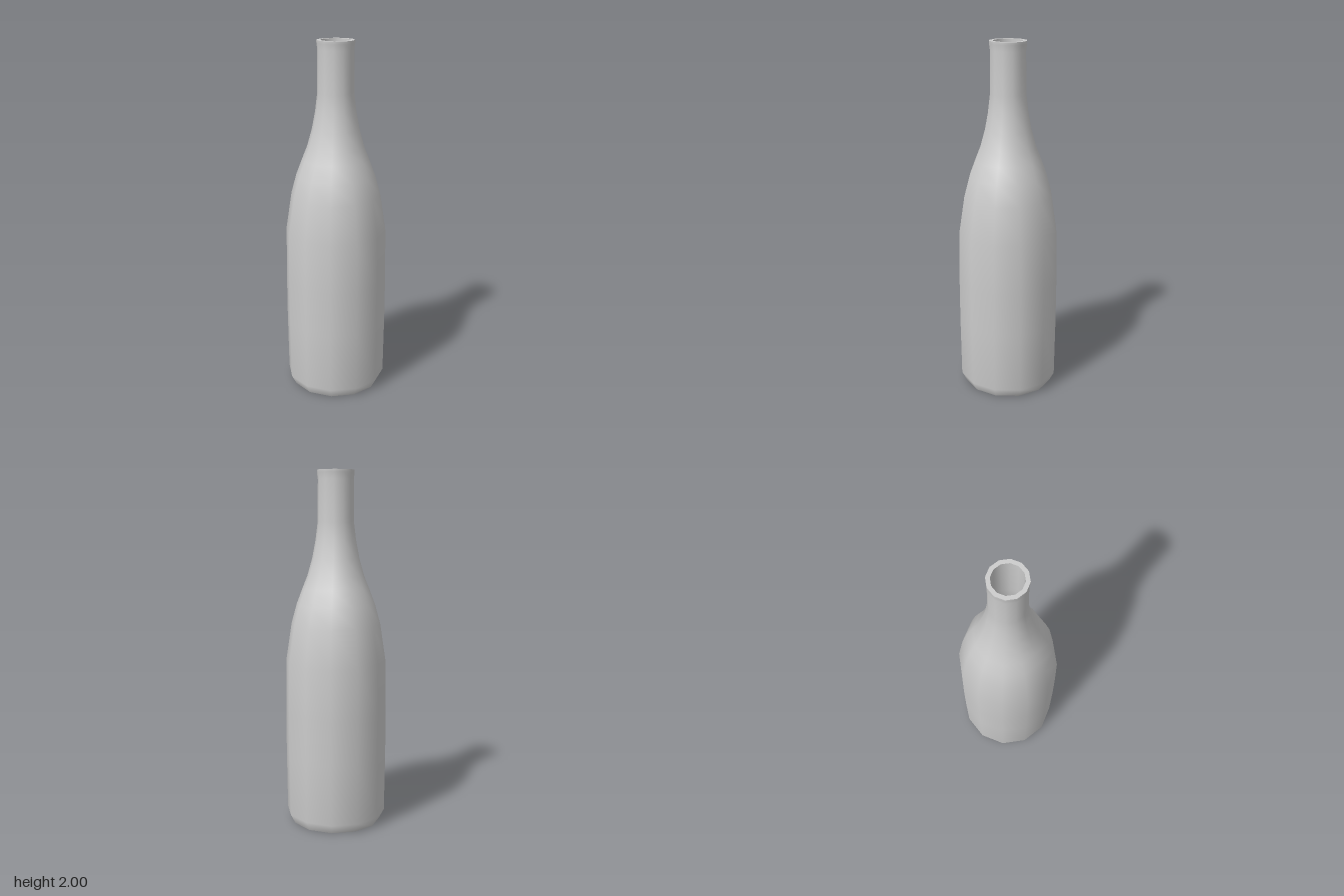
import * as THREE from 'three';

const SIDES = 12;

export function createModel() {
  const bottle = new THREE.Group();
  bottle.name = 'bottle';
  const material = new THREE.MeshStandardMaterial({ color: 0xcccccc });

  // Each surface is its own lathe, so edges between them stay sharp
  const addLathe = (name, profile) => {
    const points = profile.map(([r, y]) => new THREE.Vector2(r, y));
    const mesh = new THREE.Mesh(new THREE.LatheGeometry(points, SIDES), material);
    mesh.name = name;
    bottle.add(mesh);
  };

  // Body, shoulder and neck, from the base up
  const outer = [
    [0.257, 0], [0.284, 0.053], [0.288, 0.4], [0.288, 0.65], [0.284, 0.94],
    [0.252, 1.15], [0.222, 1.26], [0.188, 1.35], [0.16, 1.42], [0.132, 1.52],
    [0.113, 1.62], [0.101, 1.72], [0.099, 1.95], [0.104, 1.985], [0.104, 2],
  ];
  // Hollow inside, from the mouth down
  const inner = [
    [0.082, 2], [0.082, 1.72], [0.112, 1.52], [0.168, 1.35],
    [0.232, 1.15], [0.264, 0.94], [0.266, 0.06], [0.24, 0.03],
  ];

  addLathe('base', [[0, 0], outer[0]]);
  addLathe('bodyAndNeck', outer);
  addLathe('rim', [outer.at(-1), inner[0]]);
  addLathe('innerWall', inner);
  addLathe('innerFloor', [inner.at(-1), [0, 0.03]]);

  return bottle;
}
